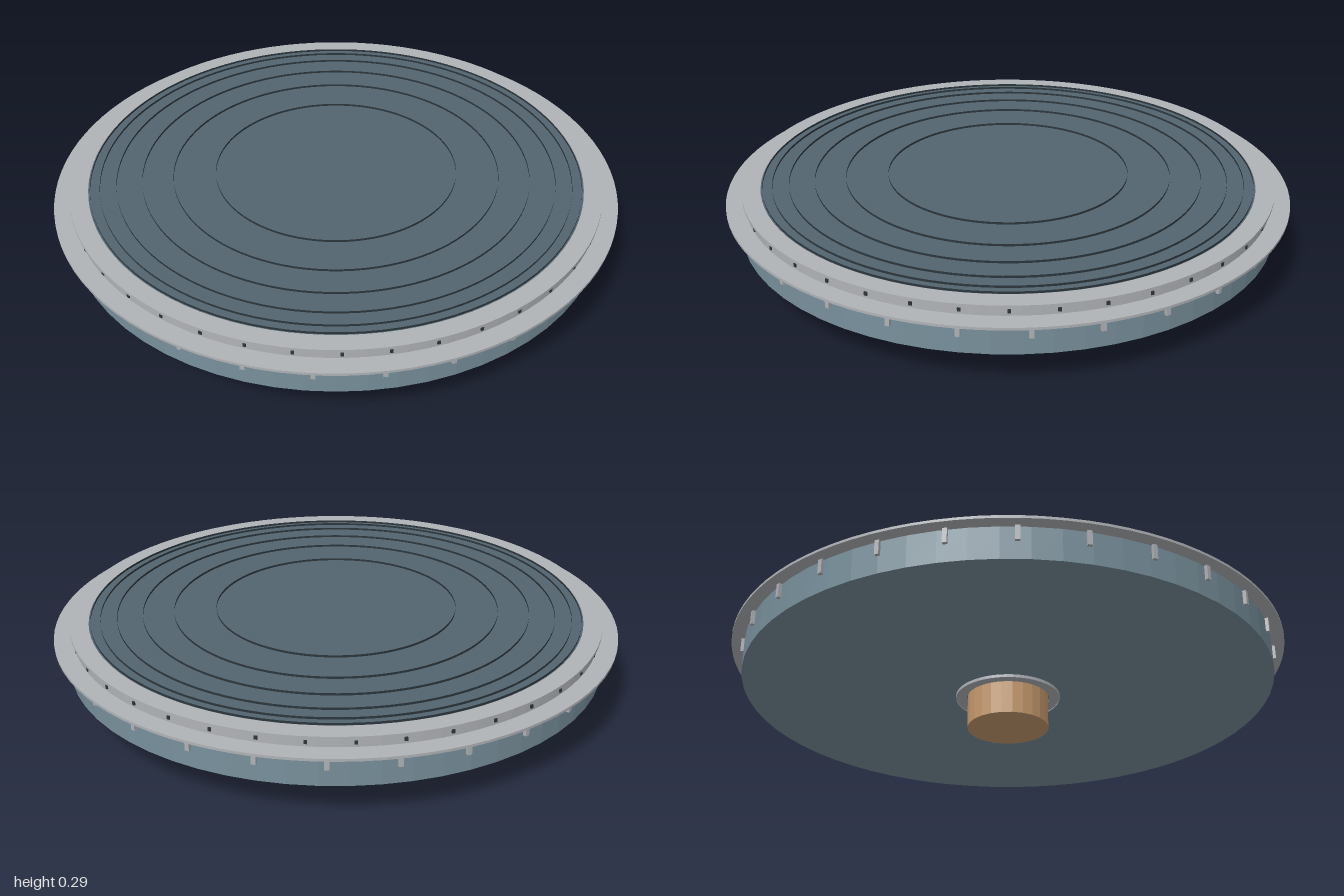
import * as THREE from 'three';

const mat = (name, color, extra = {}) => {
  const m = new THREE.MeshStandardMaterial({ color, ...extra });
  m.name = name;
  return m;
};

export function createModel() {
  const group = new THREE.Group();
  const blue = mat('blue grey body', 0x78909c, { flatShading: true });
  const slate = mat('slate dish', 0x52646f);
  const dark = mat('dark slate', 0x2c363c, { side: THREE.DoubleSide });
  const metal = mat('light grey metal', 0xb0b3b7, { flatShading: true });
  const tan = mat('tan hub', 0xc89b6e, { flatShading: true });

  const add = (name, geometry, material) => {
    const mesh = new THREE.Mesh(geometry, material);
    mesh.name = name;
    group.add(mesh);
    return mesh;
  };
  const disc = (name, r, y0, y1, material, sides = 64) => {
    const mesh = add(name, new THREE.CylinderGeometry(r, r, y1 - y0, sides), material);
    mesh.position.y = (y0 + y1) / 2;
    return mesh;
  };
  // Evenly spaced boxes around the rim
  const around = (name, count, r, y, size, material) => {
    const geometry = new THREE.BoxGeometry(...size);
    for (let i = 0; i < count; i++) {
      const a = (i / count) * Math.PI * 2;
      const mesh = add(name, geometry, material);
      mesh.position.set(Math.sin(a) * r, y, Math.cos(a) * r);
      mesh.rotation.y = a;
    }
  };

  // Hub and its collar under the body
  disc('hub', 0.147, 0, 0.125, tan, 24);
  const collar = [[0.15, 0.122], [0.15, 0.117], [0.185, 0.117], [0.185, 0.114], [0.19, 0.114], [0.19, 0.126]];
  add('hubCollar', new THREE.LatheGeometry(collar.map(p => new THREE.Vector2(...p)), 48), metal);

  // Round body and the wide flange
  disc('body', 0.955, 0.125, 0.236, blue);
  disc('flange', 1, 0.236, 0.245, metal, 96);

  // Stepped clamping ring, open in the middle
  const ring = [[0.935, 0.244], [0.935, 0.274], [0.943, 0.274], [0.943, 0.284], [0.878, 0.284], [0.878, 0.27]];
  add('clampRing', new THREE.LatheGeometry(ring.map(p => new THREE.Vector2(...p)), 96), metal);

  // Dish surface with raised concentric ribs
  disc('dish', 0.88, 0.24, 0.281, slate, 96);
  for (const r of [0.43, 0.58, 0.69, 0.78, 0.838, 0.872]) {
    const rib = add('dishRib', new THREE.CylinderGeometry(r, r, 0.009, 96, 1, true), dark);
    rib.position.y = 0.2845;
  }

  // Clips below the flange and small bolts on the ring
  around('clip', 28, 0.957, 0.211, [0.015, 0.05, 0.018], metal);
  around('bolt', 40, 0.935, 0.261, [0.01, 0.012, 0.008], dark);

  return group;
}
